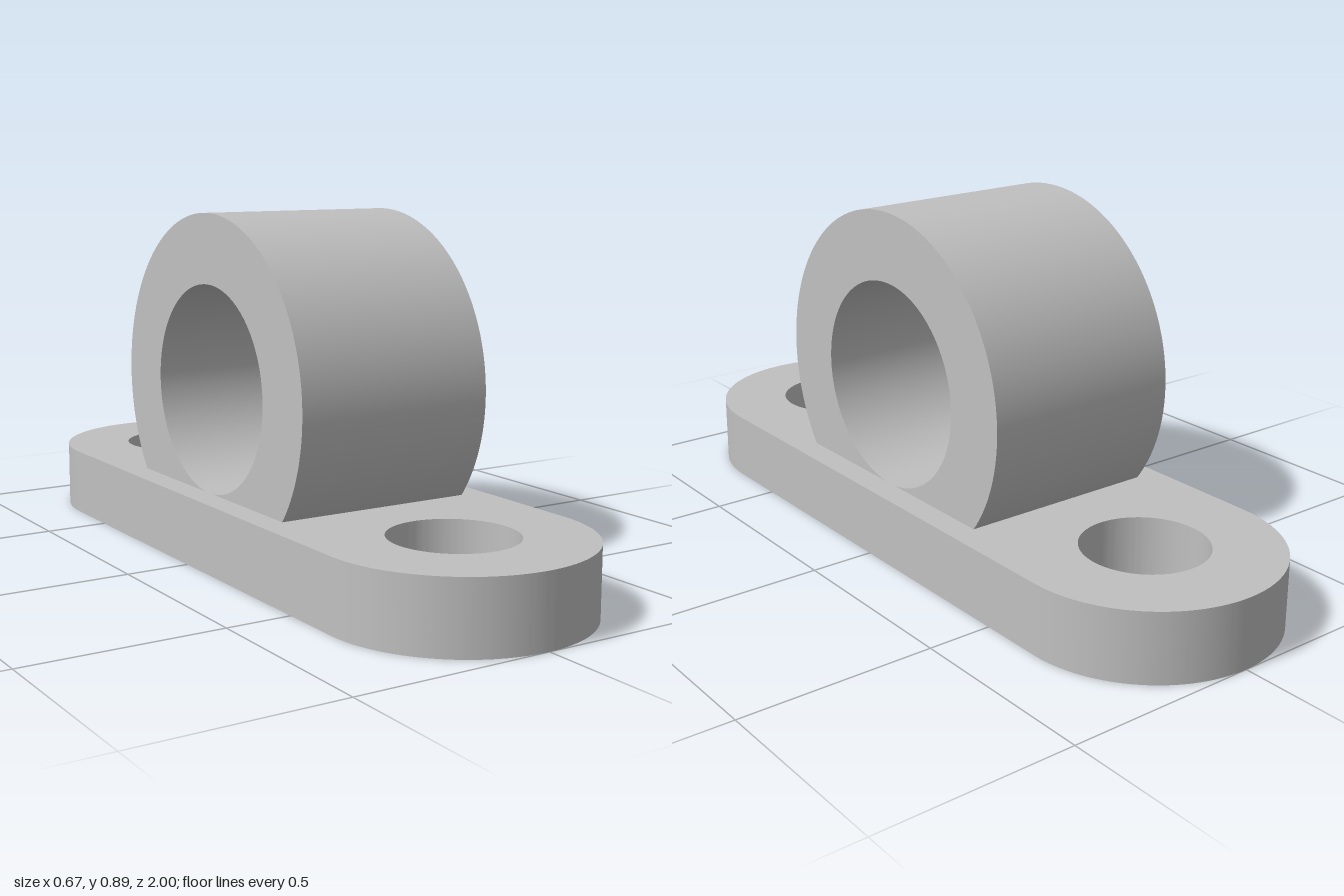
import * as THREE from 'three';
import { toCreasedNormals } from 'three/addons/utils/BufferGeometryUtils.js';

const HALF_WIDTH = 0.3333, END_Z = 0.6667, THICK = 0.1778;
const RING_R = 0.4444, BORE_R = 0.2667, RING_DEPTH = 0.5333;

function circleHole(x, y, r) {
  return new THREE.Path().absarc(x, y, r, 0, Math.PI * 2, true);
}

// Straight extrusion with smooth curved walls and sharp rims
function extrude(shape, depth) {
  const geo = new THREE.ExtrudeGeometry(shape, { depth, bevelEnabled: false, curveSegments: 64 });
  return geo;
}

export function createModel() {
  const group = new THREE.Group();
  const metal = new THREE.MeshStandardMaterial({ color: 0xc0c0c0 });
  metal.name = 'plain grey';

  const add = (name, geo) => {
    const mesh = new THREE.Mesh(toCreasedNormals(geo, 0.5), metal);
    mesh.name = name;
    group.add(mesh);
  };

  // Base plate: rounded ends, one bolt hole at each end
  const plate = new THREE.Shape();
  plate.absarc(0, END_Z, HALF_WIDTH, 0, Math.PI, false);
  plate.absarc(0, -END_Z, HALF_WIDTH, Math.PI, Math.PI * 2, false);
  plate.closePath();
  for (const s of [1, -1]) plate.holes.push(circleHole(0, s * END_Z, 0.1567));
  add('basePlate', extrude(plate, THICK).rotateX(-Math.PI / 2));

  // Bearing ring: cut flat just under the plate's top, bore touching the plate
  const cut = Math.asin((RING_R - THICK + 0.003) / RING_R);
  const ring = new THREE.Shape();
  ring.absarc(0, RING_R, RING_R, -cut, Math.PI + cut, false);
  ring.closePath();
  ring.holes.push(circleHole(0, RING_R, BORE_R));
  add('bearingRing', extrude(ring, RING_DEPTH).translate(0, 0, -RING_DEPTH / 2).rotateY(Math.PI / 2));

  return group;
}
